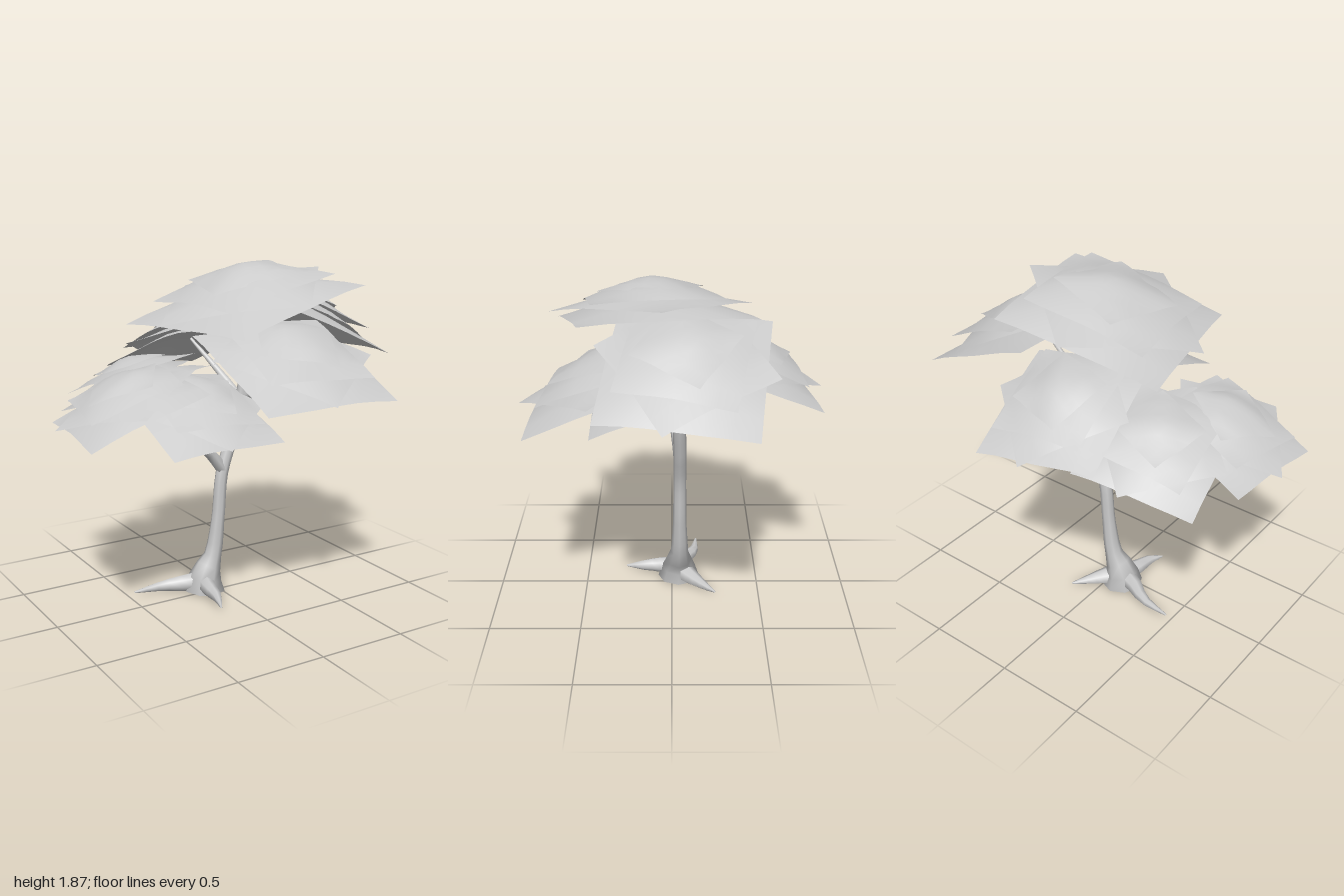
import * as THREE from 'three';

const bark = new THREE.MeshStandardMaterial({ color: 0xcccccc, side: THREE.DoubleSide });
const leaf = new THREE.MeshStandardMaterial({ color: 0xcccccc, side: THREE.DoubleSide });

// Tapered limb through points given as [x, y, z, radius]
function limb(name, pts, segments = 8, sides = 8) {
  const curve = new THREE.CatmullRomCurve3(pts.map(p => new THREE.Vector3(p[0], p[1], p[2])));
  const geo = new THREE.TubeGeometry(curve, segments, 1, sides);
  const pos = geo.attributes.position, v = new THREE.Vector3();
  for (let i = 0; i < pos.count; i++) {
    const u = Math.floor(i / (sides + 1)) / segments;
    const t = curve.getUtoTmapping(u) * (pts.length - 1);
    const k = Math.min(Math.floor(t), pts.length - 2);
    const r = THREE.MathUtils.lerp(pts[k][3], pts[k + 1][3], t - k);
    const c = curve.getPointAt(u);
    v.fromBufferAttribute(pos, i).sub(c).multiplyScalar(r).add(c);
    pos.setXYZ(i, v.x, Math.max(v.y, 0), v.z);
  }
  const mesh = new THREE.Mesh(geo, bark);
  mesh.name = name;
  return mesh;
}

// Square leaf sheet, pillowed and sloped; r is the half diagonal, angle points at one corner
function leafSheet(r, angle, gx, gz) {
  const half = r / Math.SQRT2;
  const geo = new THREE.PlaneGeometry(2 * half, 2 * half, 6, 6).rotateX(-Math.PI / 2);
  const pos = geo.attributes.position;
  for (let i = 0; i < pos.count; i++) {
    const u = pos.getX(i) / half, v = pos.getZ(i) / half;
    const ripple = 0.006 * Math.sin(4 * u + angle) * Math.cos(4 * v);
    pos.setY(i, -0.18 * r * (u * u + v * v - 0.85 * u * u * v * v) + ripple);
  }
  geo.rotateY(THREE.MathUtils.degToRad(45 - angle));
  for (let i = 0; i < pos.count; i++) {
    pos.setY(i, pos.getY(i) + gx * pos.getX(i) + gz * pos.getZ(i));
  }
  geo.computeVertexNormals();
  const mesh = new THREE.Mesh(geo, leaf);
  mesh.name = 'leafSheet';
  return mesh;
}

// Stack of four shrinking, turned sheets
const layers = [[1, 0, 0], [0.84, -39, 0.035], [0.76, 4, 0.065], [0.51, 25, 0.085]];
function leafCluster([name, x, y, z, r, angle, gx, gz]) {
  const g = new THREE.Group();
  g.name = name;
  for (const [s, turn, h] of layers) {
    const sheet = leafSheet(r * s, angle + turn, gx, gz);
    sheet.position.set(-gx * h, h, -gz * h);
    g.add(sheet);
  }
  g.position.set(x, y, z);
  return g;
}

export function createModel() {
  const tree = new THREE.Group();
  tree.name = 'tree';

  // Trunk with flared foot
  tree.add(limb('trunk', [
    [-0.075, 0.0, -0.04, 0.12], [-0.07, 0.08, -0.04, 0.095], [-0.015, 0.2, -0.045, 0.05],
    [0.02, 0.42, -0.045, 0.038], [0.045, 0.68, -0.045, 0.036], [0.11, 0.88, -0.045, 0.036],
    [0.165, 1.08, -0.04, 0.036], [0.18, 1.22, -0.04, 0.024]], 18));

  // Branches
  const branches = [
    ['topBranch', [[0.175, 1.12, -0.04, 0.03], [0.2, 1.38, -0.04, 0.02], [0.18, 1.55, 0, 0.015], [0.11, 1.76, 0.05, 0.008]]],
    ['leftBranch', [[0.18, 1.18, -0.04, 0.022], [0.3, 1.38, -0.05, 0.016], [0.5, 1.6, -0.07, 0.007]]],
    ['frontBranch', [[0.17, 1.08, -0.05, 0.03], [0.2, 1.2, 0.12, 0.022], [0.26, 1.4, 0.33, 0.008]]],
    ['backBranch', [[0.17, 1.08, -0.03, 0.03], [0.14, 1.2, -0.18, 0.022], [0.05, 1.4, -0.4, 0.008]]],
    ['rightBranch', [[0.05, 0.7, -0.045, 0.036], [-0.03, 0.8, -0.04, 0.032], [-0.15, 0.9, -0.02, 0.028], [-0.22, 1.0, 0.0, 0.02]]],
    ['rightFrontTwig', [[-0.16, 0.91, -0.02, 0.024], [-0.21, 1.0, 0.07, 0.016], [-0.22, 1.16, 0.13, 0.006]]],
    ['rightOuterTwig', [[-0.15, 0.9, -0.02, 0.026], [-0.3, 1.01, 0.03, 0.018], [-0.6, 1.24, 0.11, 0.006]]],
    ['rightBackTwig', [[-0.2, 0.97, -0.01, 0.02], [-0.27, 1.08, -0.08, 0.015], [-0.39, 1.27, -0.19, 0.006]]],
  ];
  for (const [name, pts] of branches) tree.add(limb(name, pts, 6, 6));

  // Roots spreading over the ground
  const roots = [
    ['rightRoot', [[-0.07, 0.055, -0.04, 0.06], [-0.18, 0.05, -0.07, 0.05], [-0.3, 0.035, -0.13, 0.03], [-0.47, 0.025, -0.15, 0.006]]],
    ['leftRoot', [[-0.06, 0.05, -0.04, 0.07], [0.03, 0.03, -0.13, 0.045], [0.14, 0.01, -0.25, 0.005]]],
    ['frontRoot', [[-0.08, 0.055, -0.04, 0.06], [-0.11, 0.05, 0.07, 0.045], [-0.12, 0.04, 0.17, 0.03], [-0.15, 0.02, 0.27, 0.006]]],
  ];
  for (const [name, pts] of roots) tree.add(limb(name, pts, 6, 7));

  // Foliage: name, x, y, z, half diagonal, corner angle, slope in x, slope in z
  const clusters = [
    ['topFoliage', 0.1, 1.775, 0.1, 0.64, 33, 0.22, -0.03],
    ['leftFoliage', 0.54, 1.62, -0.07, 0.56, -37, -0.44, 0],
    ['frontFoliage', 0.26, 1.44, 0.33, 0.56, 47, 0.02, -0.37],
    ['backFoliage', 0.02, 1.44, -0.41, 0.47, -56, 0, 0.42],
    ['rightFoliage', -0.62, 1.26, 0.14, 0.44, 50, 0.36, 0],
    ['rightBackFoliage', -0.42, 1.28, -0.2, 0.47, 34, 0.2, 0.28],
    ['rightFrontFoliage', -0.21, 1.17, 0.13, 0.47, 44, 0, -0.35],
  ];
  for (const c of clusters) tree.add(leafCluster(c));
  return tree;
}
